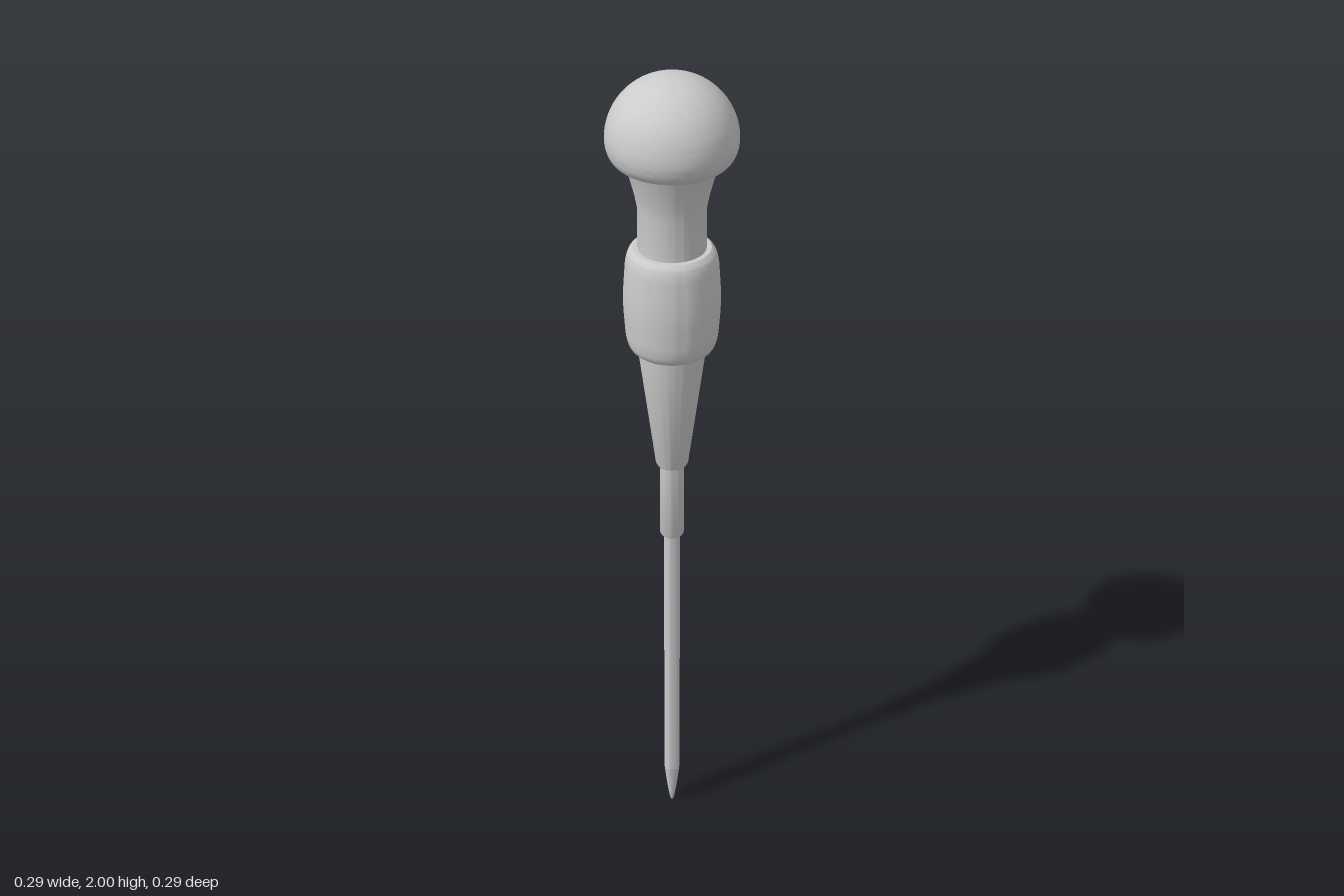
import * as THREE from 'three';
import { toCreasedNormals } from 'three/addons/utils/BufferGeometryUtils.js';

const material = new THREE.MeshStandardMaterial({ color: 0xcccccc });

function addPart(group, name, geometry) {
  const mesh = new THREE.Mesh(toCreasedNormals(geometry, 0.5), material);
  mesh.name = name;
  group.add(mesh);
}

// Turned part: points are [radius, y] from bottom to top
function turned(points, segments = 72) {
  return new THREE.LatheGeometry(points.map(([r, y]) => new THREE.Vector2(r, y)), segments);
}

// Points on an elliptical arc, angles in degrees
function arc(cx, cy, rx, ry, from, to, steps) {
  return Array.from({ length: steps + 1 }, (_, i) => {
    const a = THREE.MathUtils.degToRad(from + (to - from) * i / steps);
    return [Math.max(0, cx + rx * Math.cos(a)), cy + ry * Math.sin(a)];
  });
}

// Cross-shaped driver tip: a tapered rod whose four flutes deepen towards the point
function crossTip(height, radius) {
  const geometry = new THREE.CylinderGeometry(1, 1, height, 64, 24);
  geometry.translate(0, height / 2, 0);
  const p = geometry.attributes.position;
  for (let i = 0; i < p.count; i++) {
    const x = p.getX(i), y = p.getY(i), z = p.getZ(i);
    const len = Math.hypot(x, z);
    if (len < 1e-6) continue;
    const t = y / height;
    const outer = 0.003 + (radius - 0.003) * Math.pow(t, 0.75);
    const blade = 0.002 + 0.015 * t;
    const r = Math.min(outer, blade / Math.max(Math.min(Math.abs(x), Math.abs(z)) / len, 1e-4));
    p.setXYZ(i, x / len * r, y, z / len * r);
  }
  return geometry;
}

export function createModel() {
  const model = new THREE.Group();
  model.name = 'screwdriver';

  // Rounded cap with a flat underside
  addPart(model, 'cap', turned([
    [0, 1.8],
    ...arc(0.112, 1.856, 0.035, 0.056, -90, 0, 10),
    ...arc(0, 1.856, 0.147, 0.144, 0, 90, 28).slice(1),
  ]));

  // Neck flaring out under the cap
  addPart(model, 'neck', turned([
    [0.077, 1.58], [0.077, 1.69], [0.083, 1.722], [0.094, 1.765], [0.107, 1.805],
  ]));

  // Swollen grip with rounded shoulders
  addPart(model, 'grip', turned([
    [0, 1.335], [0.088, 1.335],
    ...arc(0.088, 1.395, 0.018, 0.058, -80, -10, 8),
    [0.109, 1.43], [0.11, 1.46], [0.109, 1.49],
    ...arc(0.088, 1.53, 0.018, 0.058, 10, 80, 8),
    [0.088, 1.59], [0, 1.59],
  ]));

  // Tapering lower handle
  addPart(model, 'lowerHandle', turned([
    [0, 1.02], [0.035, 1.02], [0.038, 1.026], [0.075, 1.31], [0.077, 1.345],
  ]));

  // Collar holding the shaft
  addPart(model, 'collar', turned([[0, 0.822], [0.026, 0.822], [0.028, 0.826], [0.028, 1.03]], 48));

  // Shaft and cross tip
  addPart(model, 'shaft', turned([[0.019, 0.11], [0.019, 0.83]], 64));
  addPart(model, 'tip', crossTip(0.11, 0.019));

  return model;
}
